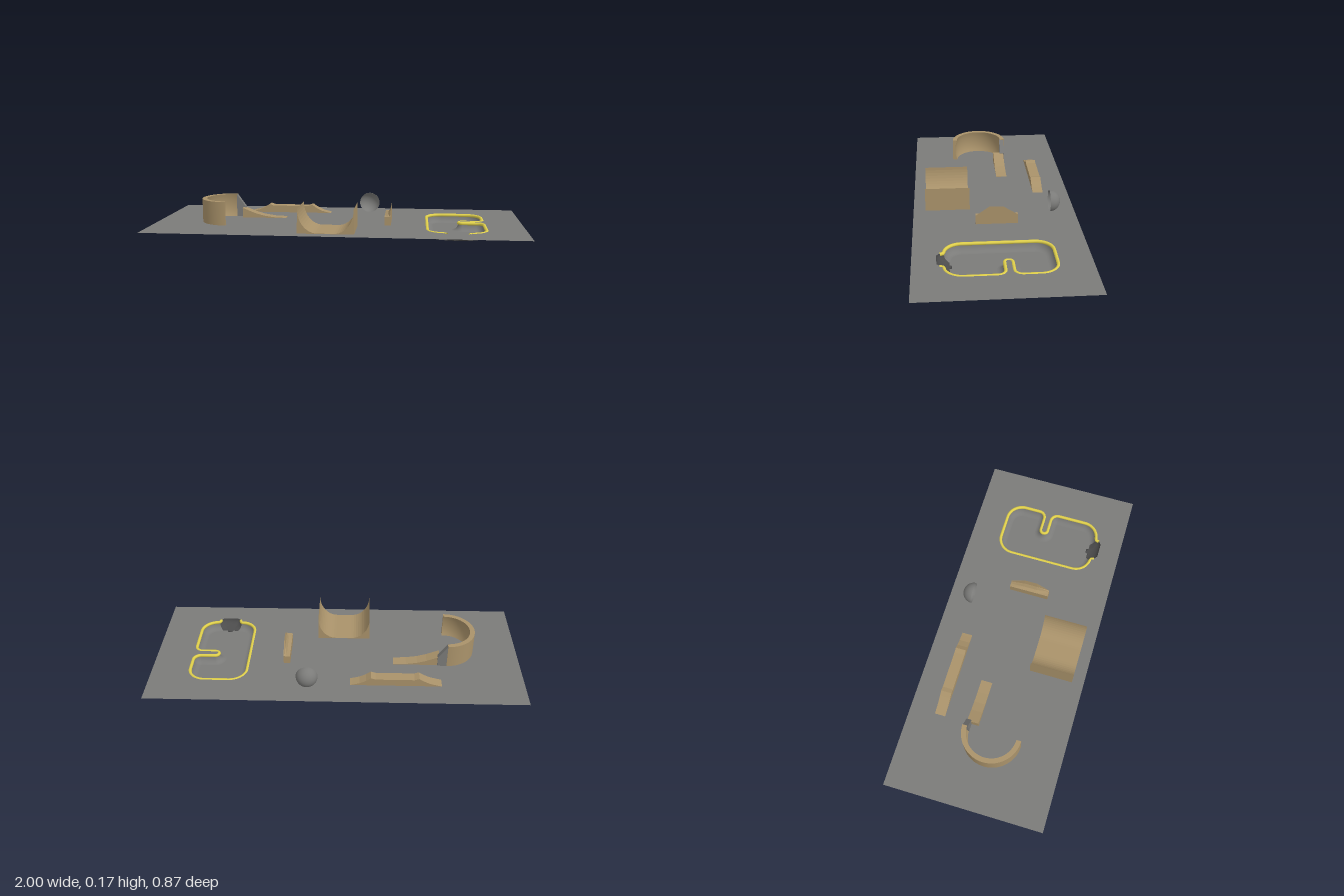
import * as THREE from 'three';

const mat = (name, color) => {
  const m = new THREE.MeshStandardMaterial({ color, side: THREE.DoubleSide });
  m.name = name;
  return m;
};
const GROUND = 0.045; // deck height
const BASE = 0.044;   // underside of the ramps

export function createModel() {
  const concrete = mat('concrete', 0x7b7b79);
  const wood = mat('tan', 0xa9926a);
  const yellow = mat('yellow', 0xe0d04c);
  const dark = mat('darkGrey', 0x4c4c4c);
  const park = new THREE.Group();
  park.name = 'skatePark';

  const add = (name, geo, material, parent = park) => {
    const m = new THREE.Mesh(geo, material);
    m.name = name;
    parent.add(m);
    return m;
  };
  const V = (x, y) => new THREE.Vector2(x, y);

  // side profile in x,y extruded between two z positions
  const slab = (name, pts, z0, z1, material) => {
    const geo = new THREE.ExtrudeGeometry(new THREE.Shape(pts), { depth: z1 - z0, bevelEnabled: false });
    geo.translate(0, 0, z0);
    return add(name, geo, material);
  };
  // concave quarter ellipse from a steep top (x0,y0) to a flat foot (x1,y1)
  const sweep = (x0, y0, x1, y1, n = 12) => Array.from({ length: n + 1 }, (_, i) => {
    const a = (i / n) * Math.PI / 2;
    return V(x0 + (x1 - x0) * (1 - Math.cos(a)), y0 + (y1 - y0) * Math.sin(a));
  });

  // pool outline, drawn in x and -z, with a nib on the left wall
  const path = new THREE.Path();
  const P = Math.PI;
  path.moveTo(0.705, -0.28);
  path.absarc(0.705, -0.19, 0.09, -P / 2, 0);
  path.absarc(0.755, -0.03, 0.04, 0, P / 2);
  path.absarc(0.68, 0.03, 0.02, -P / 2, -1.5 * P, true);
  path.absarc(0.755, 0.09, 0.04, -P / 2, 0);
  path.absarc(0.705, 0.175, 0.09, 0, P / 2);
  path.absarc(0.575, 0.175, 0.09, P / 2, P);
  path.absarc(0.575, -0.19, 0.09, P, 1.5 * P);
  const main = path.getPoints(10).filter((p, i, a) => i === 0 || p.distanceTo(a[i - 1]) > 1e-4);
  const alcove = [V(0.582, -0.3), V(0.6, -0.315), V(0.68, -0.315), V(0.698, -0.3)];
  const rim = [...main, ...alcove];
  const N = rim.length;

  // each rim point moved inward by a share of its own wall width
  const inset = (i, share) => {
    const p = rim[i % N], q = rim[(i + N - 1) % N], r = rim[(i + 1) % N];
    const t = p.clone().sub(q).normalize().add(r.clone().sub(p).normalize()).normalize();
    const d = share * (i % N < main.length ? 0.036 : 0.08);
    return V(p.x - t.y * d, p.y + t.x * d);
  };

  // ground sheet with the pool cut out
  const ground = new THREE.Shape([V(-1, -0.435), V(1, -0.435), V(1, 0.435), V(-1, 0.435)]);
  ground.holes.push(new THREE.Path(rim));
  add('ground', new THREE.ShapeGeometry(ground).rotateX(-P / 2).translate(0, GROUND, 0), concrete);

  // rounded pool walls between two rim indices
  const poolWall = (name, from, to, material) => {
    const pos = [], idx = [], K = 8, w = to - from + 1;
    for (let k = 0; k <= K; k++) {
      const a = (k / K) * P / 2;
      for (let i = from; i <= to; i++) {
        const p = inset(i, 1 - Math.cos(a));
        pos.push(p.x, GROUND * (1 - Math.sin(a)), -p.y);
        if (k < K && i < to) {
          const v = k * w + i - from;
          idx.push(v, v + 1, v + w, v + 1, v + w + 1, v + w);
        }
      }
    }
    const geo = new THREE.BufferGeometry();
    geo.setAttribute('position', new THREE.Float32BufferAttribute(pos, 3));
    geo.setIndex(idx);
    geo.computeVertexNormals();
    add(name, geo, material);
  };
  poolWall('poolWall', 0, main.length - 1, concrete);
  poolWall('poolAlcove', main.length - 1, N, dark);
  const floor = new THREE.Shape(rim.map((_, i) => inset(i, 1)));
  add('poolFloor', new THREE.ShapeGeometry(floor).rotateX(-P / 2), concrete);

  // yellow coping around the pool
  const line = new THREE.CurvePath();
  const copingPts = [alcove[3], ...main, alcove[0]].map(p => new THREE.Vector3(p.x, 0.04, -p.y));
  for (let i = 1; i < copingPts.length; i++) line.add(new THREE.LineCurve3(copingPts[i - 1], copingPts[i]));
  add('poolCoping', new THREE.TubeGeometry(line, 260, 0.009, 8, false), yellow);

  // half pipe with two quarter ramps and a flat middle
  slab('halfPipe', [
    V(-0.182, BASE), ...sweep(-0.18, 0.173, -0.078, 0.047),
    ...sweep(0.11, 0.173, 0.01, 0.047).reverse(), V(0.112, BASE),
  ], 0.13, 0.37, wood);

  // curved wall with an overhanging lip, open towards +x
  const bowl = new THREE.Group();
  bowl.name = 'curvedWall';
  bowl.position.set(-0.6, 0, 0.042);
  park.add(bowl);
  const inner = [V(0.134, 0.173), V(0.138, 0.16), V(0.143, 0.14), V(0.146, 0.11),
    V(0.144, 0.08), V(0.138, 0.058), V(0.132, BASE)];
  const outer = [V(0.16, BASE), V(0.16, 0.173)];
  [['wallOutside', outer], ['wallLip', [outer[1], inner[0]]], ['wallInside', inner],
    ['wallUnderside', [inner[6], outer[0]]]].forEach(([name, pts]) =>
    add(name, new THREE.LatheGeometry(pts, 36, P, P), wood, bowl));
  for (const s of [-1, 1]) {
    add('wallEnd', new THREE.ShapeGeometry(new THREE.Shape([...outer, ...inner])).rotateY(s * P / 2), wood, bowl);
  }

  // grey wedge joining the curved wall to the low ramp
  slab('wallWedge', [V(-0.602, BASE), V(-0.602, 0.172), V(-0.55, 0.1), V(-0.55, BASE)], -0.116, -0.088, concrete);
  // low ramp running out of the curved wall
  slab('lowRamp', [V(-0.56, BASE), V(-0.56, 0.1), V(-0.53, 0.088), V(-0.49, 0.072),
    V(-0.44, 0.058), V(-0.38, 0.049), V(-0.31, 0.046), V(-0.31, BASE)], -0.11, -0.048, wood);

  // grind ledge with a raised kicker at each end
  slab('grindLedge', [V(-0.565, BASE), V(-0.54, 0.05), V(-0.5, 0.06), V(-0.465, 0.076), V(-0.44, 0.092),
    V(-0.415, 0.084), V(-0.21, 0.084), V(-0.185, 0.092), V(-0.16, 0.074), V(-0.125, 0.057),
    V(-0.09, 0.048), V(-0.07, BASE)], -0.296, -0.238, wood);

  // small wall ramp, lofted along z with a taller middle
  const sections = [[-0.115, 0.095], [-0.036, 0.145], [0.036, 0.145], [0.107, 0.095]].map(([z, h]) =>
    [[0.29, BASE], [0.29, h], [0.284, 0.09 + (h - 0.09) * 0.45], [0.273, 0.09 + (h - 0.09) * 0.12],
      [0.255, 0.09], [0.255, BASE]].map(([x, y]) => [x, y, z]));
  const tri = [];
  sections.forEach((s, j) => {
    const n = s.length, next = sections[j + 1];
    for (let i = 0; i < n && next; i++) {
      const k = (i + 1) % n;
      tri.push(...s[i], ...s[k], ...next[i], ...s[k], ...next[k], ...next[i]);
    }
    if (j === 0) for (let i = 1; i < n - 1; i++) tri.push(...s[0], ...s[i + 1], ...s[i]);
    if (!next) for (let i = 1; i < n - 1; i++) tri.push(...s[0], ...s[i], ...s[i + 1]);
  });
  const wallRamp = new THREE.BufferGeometry();
  wallRamp.setAttribute('position', new THREE.Float32BufferAttribute(tri, 3));
  wallRamp.computeVertexNormals();
  add('wallRamp', wallRamp, wood);

  // hollow half dome opening to the front
  const dome = new THREE.SphereGeometry(0.058, 32, 16, 0, P * 2, 0, P / 2).rotateX(-P / 2);
  add('halfDome', dome, concrete).position.set(0.152, 0.102, -0.299);

  return park;
}
